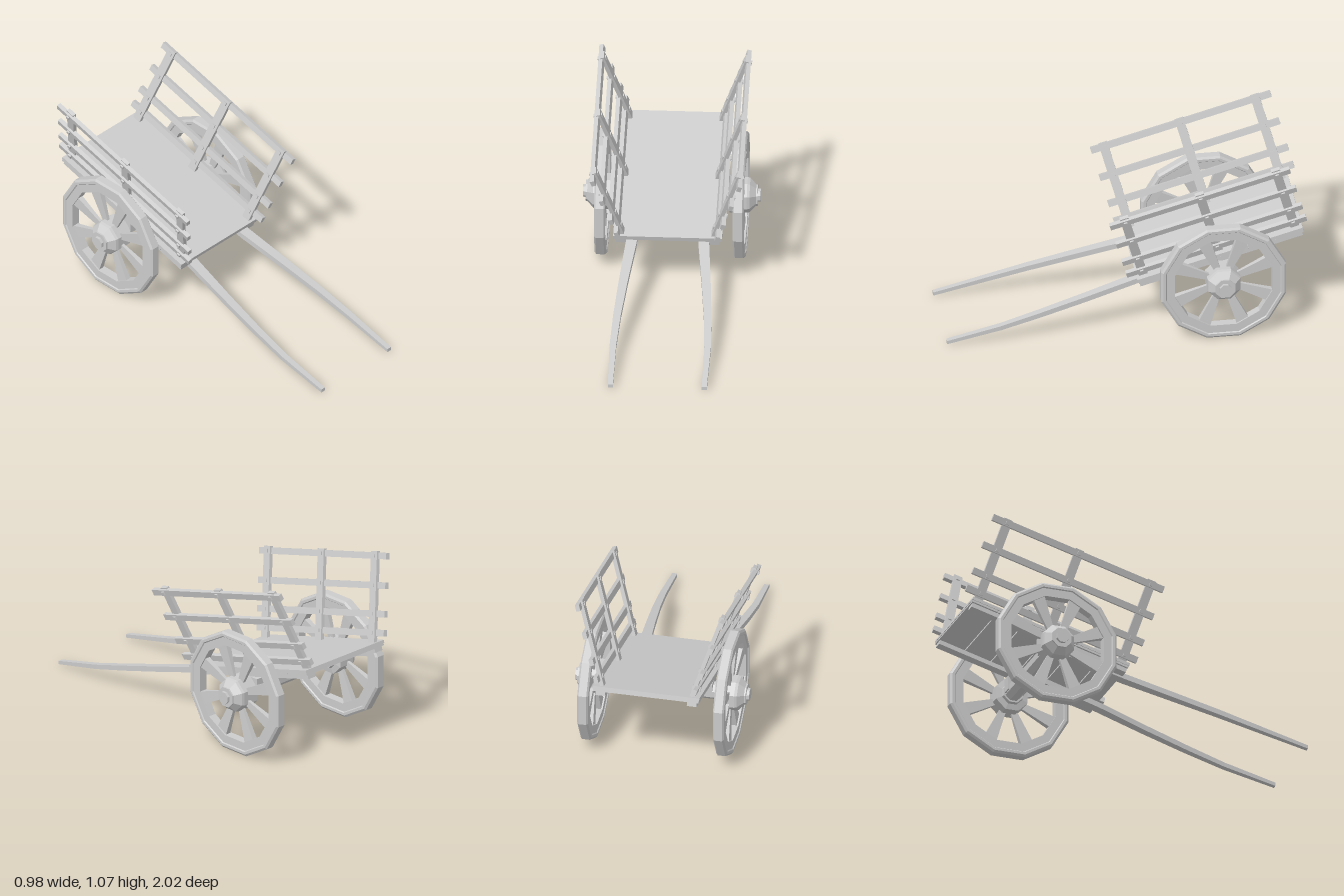
import * as THREE from 'three';

const wood = new THREE.MeshStandardMaterial({ color: 0xcccccc, flatShading: true });

function add(parent, name, geometry, x = 0, y = 0, z = 0) {
  const mesh = new THREE.Mesh(geometry, wood);
  mesh.name = name;
  mesh.position.set(x, y, z);
  parent.add(mesh);
  return mesh;
}
const box = (w, h, d) => new THREE.BoxGeometry(w, h, d);

// Faceted ring or hub turned about the x axis; points are [radius, offset along x]
function turned(points, sides) {
  const g = new THREE.LatheGeometry(points.map(p => new THREE.Vector2(...p)), sides);
  return g.rotateY(Math.PI / sides).rotateZ(-Math.PI / 2);
}

// Bar with a rectangular section swept through [x, y, z, width, height] stations
function sweptBar(stations) {
  const pos = [], index = [];
  for (const [x, y, z, w, h] of stations)
    for (const [sx, sy] of [[-1, -1], [1, -1], [1, 1], [-1, 1]])
      pos.push(x + sx * w / 2, y + sy * h / 2, z);
  for (let i = 0; i < stations.length - 1; i++)
    for (let k = 0; k < 4; k++) {
      const a = i * 4 + k, b = i * 4 + (k + 1) % 4;
      index.push(a, b, b + 4, a, b + 4, a + 4);
    }
  const e = (stations.length - 1) * 4;
  index.push(0, 2, 1, 0, 3, 2, e, e + 1, e + 2, e, e + 2, e + 3);
  const g = new THREE.BufferGeometry();
  g.setAttribute('position', new THREE.Float32BufferAttribute(pos, 3));
  g.setIndex(index);
  g.computeVertexNormals();
  return g;
}

function makeWheel() {
  const wheel = new THREE.Group();
  // Twelve-sided rim with a raised, chamfered tyre
  add(wheel, 'rim', turned([[0.28, -0.025], [0.328, -0.025], [0.333, -0.031], [0.348, -0.031], [0.36, -0.022],
    [0.36, 0.022], [0.348, 0.031], [0.333, 0.031], [0.328, 0.025], [0.28, 0.025], [0.28, -0.025]], 12));
  // Eight-sided stepped hub
  add(wheel, 'hub', turned([[0, -0.085], [0.06, -0.085], [0.065, -0.068], [0.1, -0.062], [0.1, 0.035],
    [0.095, 0.05], [0.06, 0.083], [0.06, 0.092], [0.036, 0.092], [0.036, 0.108], [0, 0.108]], 8));
  // Spokes widening towards the rim
  for (let i = 0; i < 8; i++) {
    const g = new THREE.CylinderGeometry(0.053, 0.024, 0.22, 4, 1).rotateY(Math.PI / 4);
    g.scale(0.45, 1, 1).translate(0, 0.18, 0).rotateX((i + 0.5) * Math.PI / 4);
    add(wheel, 'spoke', g);
  }
  return wheel;
}

// Slatted side in its own plane: y runs up the lean, z along the cart
function makeSide() {
  const side = new THREE.Group();
  const lean = 0.3, rails = [0.453, 0.297, 0.147, 0.047].map(y => y / Math.cos(lean));
  for (const z of [-0.04, -0.475, -0.915]) {
    add(side, 'post', box(0.022, 0.51, 0.05), -0.006, 0.245, z);
    for (const y of rails) add(side, 'peg', box(0.05, 0.02, 0.02), 0.002, y, z);
  }
  for (const y of rails) add(side, 'rail', box(0.024, 0.036, 1.04), 0.006, y, -0.471);
  side.position.x = 0.258;
  side.rotation.z = -lean;
  return side;
}

export function createModel() {
  const cart = new THREE.Group();
  cart.name = 'handCart';

  // Tilted bed, with cross planks on its underside
  const body = new THREE.Group();
  body.name = 'body';
  body.position.set(0, 0.342, -0.055);
  body.rotation.x = 0.272;
  cart.add(body);
  add(body, 'bed', box(0.6, 0.018, 0.955), 0, -0.009, -0.4775);
  const planks = 6, pitch = 0.955 / planks;
  for (let i = 0; i < planks; i++)
    add(body, 'underPlank', box(0.594, 0.014, pitch - 0.006), 0, -0.023, -(i + 0.5) * pitch);

  const axleY = 0.348, axleZ = -0.52;
  add(cart, 'axle', new THREE.CylinderGeometry(0.05, 0.05, 0.64, 8).rotateY(Math.PI / 8).rotateZ(Math.PI / 2), 0, axleY, axleZ);

  for (const s of [1, -1]) {
    const label = s > 0 ? 'left' : 'right';

    const wheel = makeWheel();
    wheel.name = label + 'Wheel';
    wheel.position.set(s * 0.382, axleY, axleZ);
    if (s < 0) wheel.rotation.y = Math.PI;
    cart.add(wheel);

    // The right side is the left one turned about and shifted along the bed
    const side = makeSide();
    side.name = label + 'Side';
    if (s < 0) {
      const turn = new THREE.Group();
      turn.rotation.y = Math.PI;
      turn.position.z = -0.955;
      turn.add(side);
      body.add(turn);
    } else body.add(side);

    // Beam under the bed edge and the block that holds the axle
    add(body, label + 'Beam', box(0.055, 0.026, 0.94), s * 0.2575, -0.042, -0.475);
    add(cart, label + 'AxleBlock', box(0.055, 0.08, 0.11), s * 0.2575, 0.375, axleZ);

    // Curved pulling shaft
    add(cart, label + 'Shaft', sweptBar([
      [s * 0.185, 0.403, -0.46, 0.06, 0.032], [s * 0.2, 0.291, -0.055, 0.06, 0.032],
      [s * 0.228, 0.215, 0.22, 0.05, 0.032], [s * 0.25, 0.145, 0.48, 0.042, 0.03],
      [s * 0.261, 0.086, 0.7, 0.036, 0.026], [s * 0.259, 0.016, 1, 0.028, 0.02]]), 0, 0, 0);
  }
  return cart;
}
